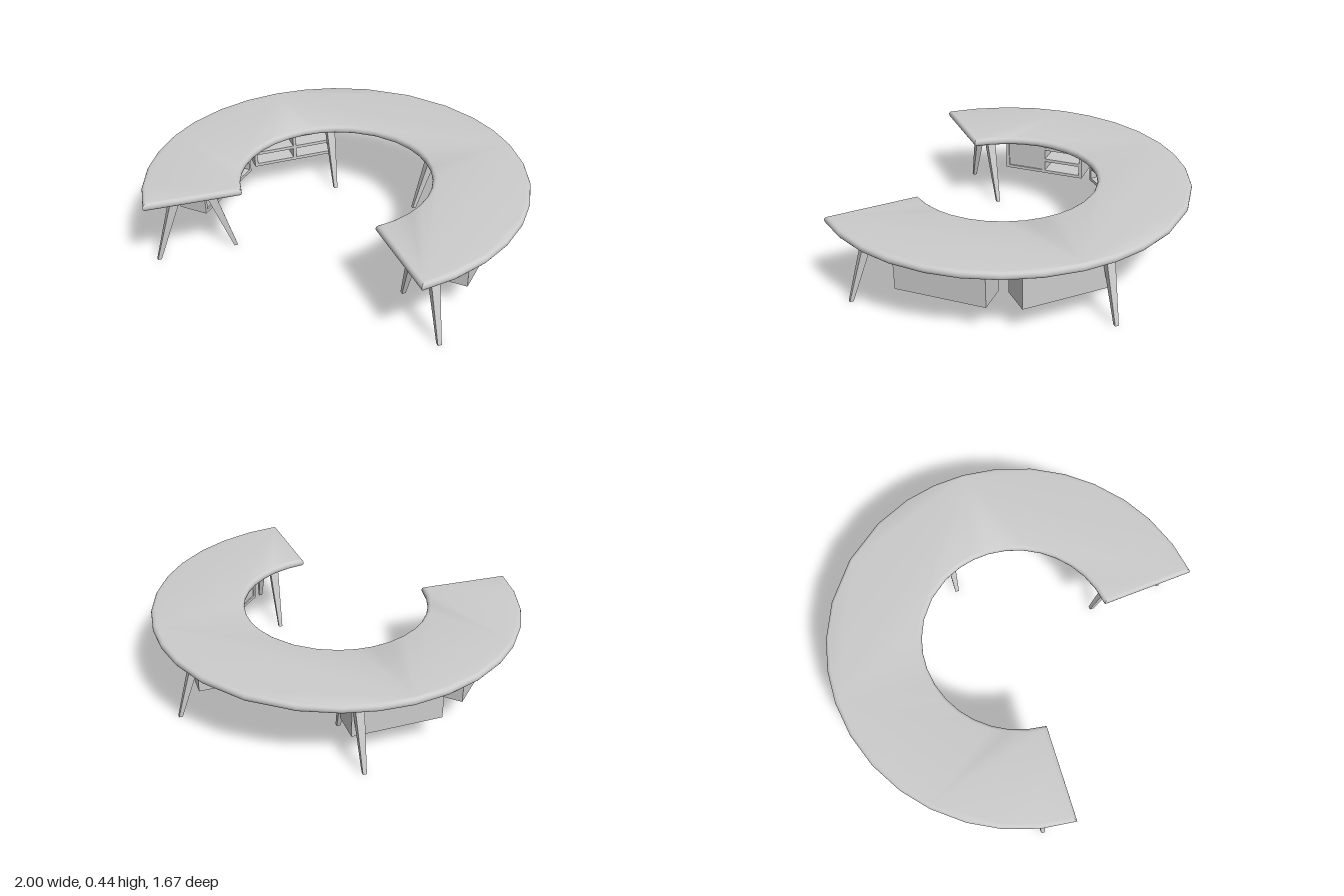
import * as THREE from 'three';
import { toCreasedNormals } from 'three/addons/utils/BufferGeometryUtils.js';

const GREY = new THREE.MeshStandardMaterial({ color: 0xcccccc });
const TOP_Y = 0.438, UNDER_Y = 0.394, CENTRE_Z = 0.16;
const CABINET = { length: 0.485, depth: 0.165, bottom: 0.155 };

function part(name, geometry) {
  const mesh = new THREE.Mesh(geometry, GREY);
  mesh.name = name;
  return mesh;
}

// Horseshoe top with a rounded rim
function tabletop() {
  const r = 0.021;
  const half = [15, 27, 37, 47, 58, 69, 80, 90, 101, 111, 122, 132.5 - 1.3];
  const angles = [...half.map(a => -a).reverse(), 0, ...half];
  const point = (radius, deg) => {
    const a = THREE.MathUtils.degToRad(deg);
    return new THREE.Vector2(radius * Math.sin(a), radius * Math.cos(a));
  };
  const outline = [
    ...angles.map(a => point(1 - r, a)),
    ...angles.slice().reverse().map(a => point(0.5 + r, a * 0.992)),
  ];
  const geometry = new THREE.ExtrudeGeometry(new THREE.Shape(outline), {
    depth: TOP_Y - UNDER_Y - 2 * r, bevelThickness: r, bevelSize: r, bevelSegments: 4,
  });
  geometry.rotateX(-Math.PI / 2).translate(0, UNDER_Y + r, CENTRE_Z);
  return part('tabletop', toCreasedNormals(geometry, 0.6));
}

// Square leg tapering from top to foot, turned 45 degrees in plan
function leg(name, foot, top) {
  const geometry = new THREE.BoxGeometry(1, 1, 1);
  const p = geometry.attributes.position;
  for (let i = 0; i < p.count; i++) {
    const upper = p.getY(i) > 0;
    const [cx, cz] = upper ? top : foot;
    const size = (upper ? 0.052 : 0.02) * Math.SQRT1_2;
    const x = p.getX(i), z = p.getZ(i);
    p.setXYZ(i, cx + (x + z) * size, upper ? UNDER_Y + 0.005 : 0, cz + (z - x) * size);
  }
  geometry.computeVertexNormals();
  return part(name, geometry);
}

function rectanglePath(x0, y0, x1, y1, Type = THREE.Path) {
  return new Type([[x0, y0], [x1, y0], [x1, y1], [x0, y1]].map(c => new THREE.Vector2(...c)));
}

// Cabinet with open compartments; doorSide (-1, 1 or 0) closes one half with a recessed door
function cabinet(name, doorSide) {
  const group = new THREE.Group();
  group.name = name;
  const { length, depth, bottom } = CABINET;
  const height = UNDER_Y - bottom + 0.003, wall = 0.018, back = 0.015;
  const columnWidth = (length - 3 * wall) / 2, rowHeight = (height - 4 * wall) / 3;
  const body = rectanglePath(-length / 2, 0, length / 2, height, THREE.Shape);

  for (const side of [-1, 1]) {
    const x0 = side < 0 ? -length / 2 + wall : wall / 2;
    const x1 = x0 + columnWidth;
    if (side === doorSide) {
      body.holes.push(rectanglePath(x0, wall, x1, height - wall));
      const door = part('doorPanel', new THREE.BoxGeometry(columnWidth, height - 2 * wall, 0.012));
      door.position.set((x0 + x1) / 2, height / 2, depth / 2 - 0.014);
      group.add(door);
      continue;
    }
    for (let row = 0; row < 3; row++) {
      const y = wall + row * (rowHeight + wall);
      body.holes.push(rectanglePath(x0, y, x1, y + rowHeight));
    }
    if (doorSide) {
      // Drawer front with a scooped finger grip in the upper compartment
      const y = wall + 2 * (rowHeight + wall), mid = (x0 + x1) / 2, h = rowHeight * 0.75;
      const front = new THREE.Shape();
      front.moveTo(x0, y);
      front.lineTo(x1, y);
      front.lineTo(x1, y + h);
      front.lineTo(mid + 0.045, y + h);
      front.quadraticCurveTo(mid, y + h - 0.045, mid - 0.045, y + h);
      front.lineTo(x0, y + h);
      const geometry = new THREE.ExtrudeGeometry(front, { depth: 0.01, bevelEnabled: false, curveSegments: 6 });
      const drawer = part('drawerFront', geometry);
      drawer.position.z = depth / 2 - 0.018;
      group.add(drawer);
    }
  }

  const shell = part('cabinetShell', new THREE.ExtrudeGeometry(body, { depth: depth - back, bevelEnabled: false }));
  shell.position.z = -depth / 2 + back;
  const backPanel = part('cabinetBack', new THREE.BoxGeometry(length, height, back));
  backPanel.position.set(0, height / 2, -depth / 2 + back / 2);
  group.add(shell, backPanel);
  return group;
}

export function createModel() {
  const model = new THREE.Group();
  model.name = 'horseshoeDesk';
  model.add(tabletop());

  for (const s of [1, -1]) {
    const side = s > 0 ? 'left' : 'right';

    // Splayed leg pairs near the open end and at the back
    model.add(
      leg(side + 'FrontOuterLeg', [s * 0.79, 0.695], [s * 0.7, 0.6]),
      leg(side + 'FrontInnerLeg', [s * 0.49, 0.41], [s * 0.585, 0.5]),
      leg(side + 'BackOuterLeg', [s * 0.53, -0.63], [s * 0.445, -0.545]),
      leg(side + 'BackInnerLeg', [s * 0.25, -0.335], [s * 0.335, -0.43]),
    );

    // Cabinets face the middle of the desk
    const sideCabinet = cabinet(side + 'SideCabinet', s);
    sideCabinet.position.set(s * 0.742, CABINET.bottom, 0.175);
    sideCabinet.rotation.y = -s * Math.PI / 2;
    const backCabinet = cabinet(side + 'BackCabinet', 0);
    backCabinet.position.set(s * 0.548, CABINET.bottom, -0.348);
    backCabinet.rotation.y = -s * Math.PI / 4;
    model.add(sideCabinet, backCabinet);
  }
  return model;
}
